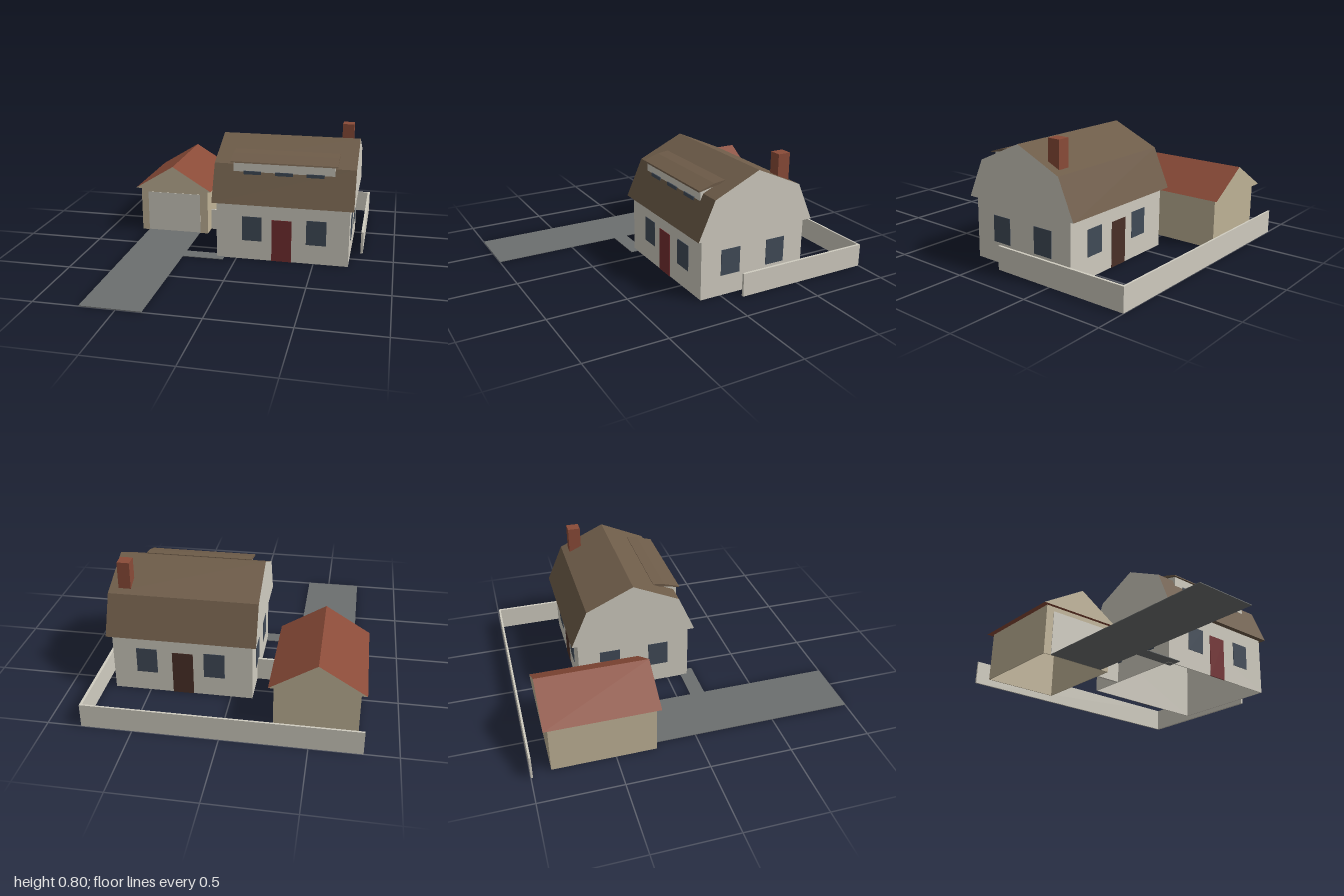
import * as THREE from 'three';

const mat = (name, color) => {
  const m = new THREE.MeshStandardMaterial({ color });
  m.name = name;
  return m;
};

export function createModel() {
  const model = new THREE.Group();
  model.name = 'houseAndGarage';

  const cream = mat('creamWall', 0xd0ccc0);
  const beige = mat('beigeWall', 0xc0b397);
  const brown = mat('brownRoof', 0x6e5c49);
  const red = mat('redTile', 0x8a4b38);
  const glass = mat('darkGlass', 0x414b58);
  const doorRed = mat('redDoor', 0x742f31);
  const doorBrown = mat('brownDoor', 0x4a3028);
  const grey = mat('greyPaving', 0x6c6f6f);

  const add = (name, geometry, material, parent = model) => {
    const mesh = new THREE.Mesh(geometry, material);
    mesh.name = name;
    parent.add(mesh);
    return mesh;
  };
  const group = (name) => {
    const g = new THREE.Group();
    g.name = name;
    model.add(g);
    return g;
  };

  // Box given by its limits on each axis
  const box = (name, material, [x0, x1], [y0, y1], [z0, z1], parent) => {
    const mesh = add(name, new THREE.BoxGeometry(x1 - x0, y1 - y0, z1 - z0), material, parent);
    mesh.position.set((x0 + x1) / 2, (y0 + y1) / 2, (z0 + z1) / 2);
    return mesh;
  };

  // Hollow walls, open at the bottom
  const walls = (name, material, [x0, x1], height, [z0, z1], parent) => {
    const rect = (C, t) => new C([
      [x0 + t, -z1 + t], [x1 - t, -z1 + t], [x1 - t, -z0 - t], [x0 + t, -z0 - t],
    ].map(([x, y]) => new THREE.Vector2(x, y)));
    const shape = rect(THREE.Shape, 0);
    shape.holes.push(rect(THREE.Path, 0.006));
    const geo = new THREE.ExtrudeGeometry(shape, { depth: height, bevelEnabled: false });
    geo.rotateX(-Math.PI / 2);
    return add(name, geo, material, parent);
  };

  // Prism with its own material on the two end faces
  const prism = (points, depth) => new THREE.ExtrudeGeometry(
    new THREE.Shape(points.map(([x, y]) => new THREE.Vector2(x, y))),
    { depth, bevelEnabled: false },
  );
  // Prism running along x from a profile of (z, y) points
  const prismAlongX = (points, x0, x1) => prism(points.map(([z, y]) => [-z, y]), x1 - x0)
    .rotateY(Math.PI / 2).translate(x0, 0, 0);

  // House body and gambrel roof
  const house = group('house');
  walls('houseWalls', cream, [-0.13, 0.72], 0.38, [-0.585, 0.135], house);
  add('gambrelRoof', prismAlongX([
    [0.17, 0.378], [0.065, 0.615], [-0.225, 0.748], [-0.52, 0.615], [-0.625, 0.378],
  ], -0.155, 0.745), [cream, brown], house);
  box('chimney', red, [0.615, 0.69], [0.58, 0.8], [-0.48, -0.4], house);

  // Shed dormer with a row of low windows
  const dormer = group('dormer');
  add('dormerWalls', prismAlongX([
    [0.084, 0.56], [0.084, 0.64], [-0.04, 0.665], [-0.04, 0.56],
  ], -0.03, 0.615), cream, dormer);
  add('dormerRoof', prismAlongX([
    [0.104, 0.632], [0.1, 0.64], [0, 0.671], [-0.07, 0.681], [-0.07, 0.665], [0, 0.655],
  ], -0.045, 0.632), brown, dormer);
  for (const x of [0.037, 0.239, 0.437]) {
    box('dormerWindow', glass, [x, x + 0.113], [0.555, 0.578], [0.083, 0.091], dormer);
  }

  // Doors and windows of the front and back
  const openings = group('openings');
  for (const [z, doorMat, side] of [[0.135, doorRed, 'front'], [-0.585, doorBrown, 'back']]) {
    const zs = [z - 0.003, z + 0.003];
    box(side + 'Door', doorMat, [0.23, 0.357], [0, 0.278], zs, openings);
    for (const x of [0.038, 0.45]) {
      box(side + 'Window', glass, [x, x + 0.127], [0.128, 0.29], zs, openings);
    }
  }
  // Windows of both gable walls
  for (const x of [0.72, -0.13]) {
    for (const z of [-0.13, -0.447]) {
      box('sideWindow', glass, [x - 0.003, x + 0.003], [0.128, 0.29], [z, z + 0.13], openings);
    }
  }

  // Garage with a gabled tile roof
  const garage = group('garage');
  walls('garageWalls', beige, [-0.77, -0.29], 0.316, [-0.88, -0.255], garage);
  add('garageRoof', prism([[-0.803, 0.314], [-0.262, 0.314], [-0.532, 0.48]], 0.675)
    .translate(0, 0, -0.907), [beige, red], garage);
  box('garageDoor', cream, [-0.72, -0.345], [0, 0.284], [-0.258, -0.252], garage);

  // Garden walls
  const garden = group('gardenWalls');
  const h = [0, 0.146];
  box('backWall', cream, [-0.803, 0.8], h, [-1, -0.988], garden);
  box('rightWall', cream, [0.784, 0.8], h, [-0.988, -0.11], garden);
  box('linkWall', cream, [-0.29, -0.13], h, [-0.37, -0.354], garden);

  // Driveway and path
  const paving = group('paving');
  box('driveway', grey, [-0.72, -0.348], [0, 0.004], [-0.255, 1], paving);
  box('path', grey, [-0.348, -0.08], [0, 0.004], [0.09, 0.183], paving);

  return model;
}
